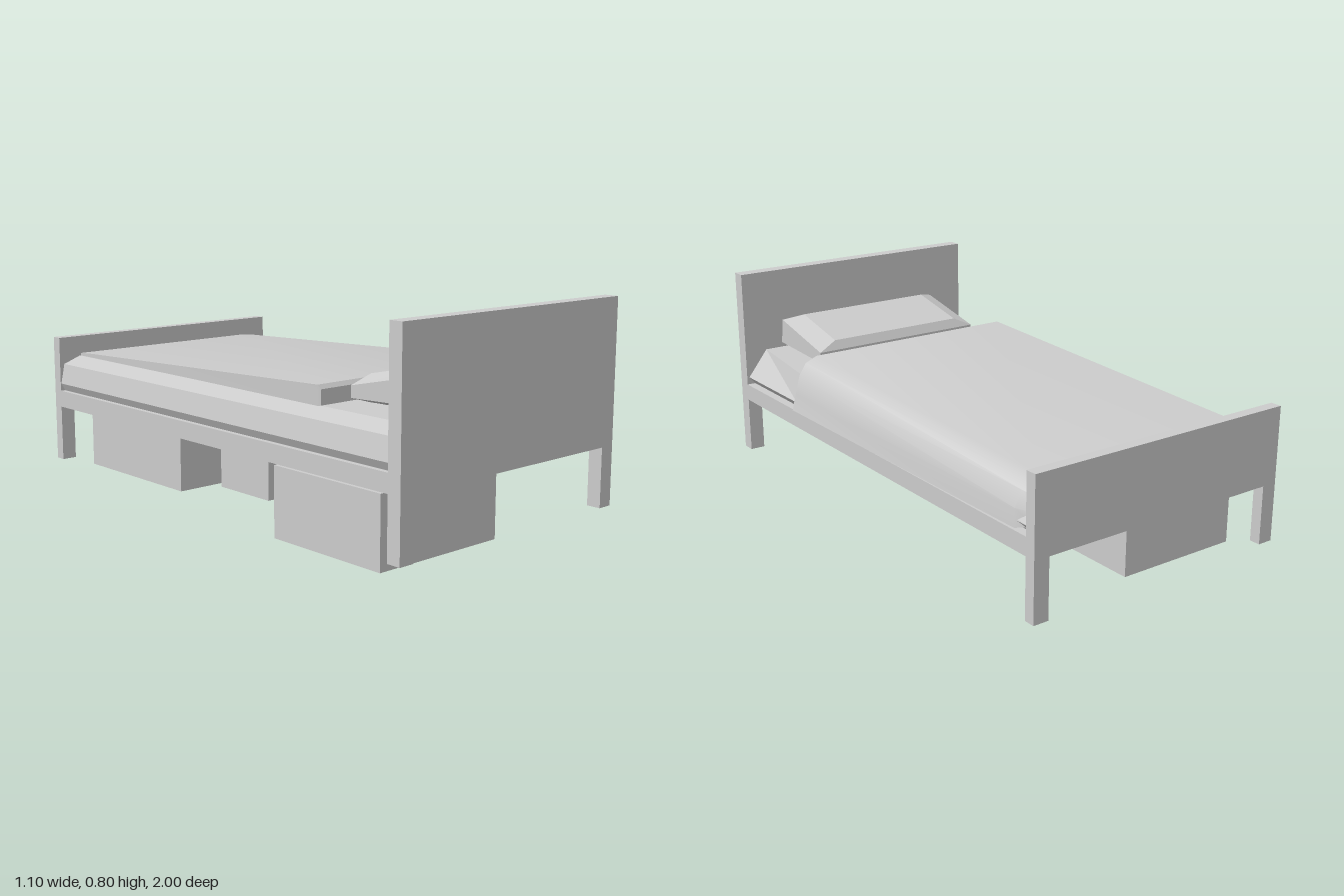
import * as THREE from 'three';
import { toCreasedNormals } from 'three/addons/utils/BufferGeometryUtils.js';

const material = new THREE.MeshStandardMaterial({ color: 0xcccccc });

function add(group, name, geometry) {
  const mesh = new THREE.Mesh(geometry, material);
  mesh.name = name;
  group.add(mesh);
  return mesh;
}

// Box given by its lower and upper corners
function box(group, name, [x0, y0, z0], [x1, y1, z1]) {
  const mesh = add(group, name, new THREE.BoxGeometry(x1 - x0, y1 - y0, z1 - z0));
  mesh.position.set((x0 + x1) / 2, (y0 + y1) / 2, (z0 + z1) / 2);
}

// Closed solid through counter-clockwise rings of equal point count
function loft(rings, crease) {
  const pos = [];
  const tri = (...pts) => pts.forEach((p) => pos.push(...p));
  const n = rings[0].length;
  const centre = (ring) => [0, 1, 2].map((k) => ring.reduce((s, p) => s + p[k], 0) / n);
  const first = rings[0], last = rings[rings.length - 1];
  const c0 = centre(first), c1 = centre(last);
  for (let j = 0; j < n; j++) {
    const k = (j + 1) % n;
    for (let i = 0; i + 1 < rings.length; i++) {
      const [r, s] = [rings[i], rings[i + 1]];
      tri(r[j], r[k], s[k], r[j], s[k], s[j]);
    }
    tri(c0, first[k], first[j]);
    tri(c1, last[j], last[k]);
  }
  const g = new THREE.BufferGeometry();
  g.setAttribute('position', new THREE.Float32BufferAttribute(pos, 3));
  return toCreasedNormals(g, crease);
}

const atZ = (z, pts) => pts.map(([x, y]) => [x, y, z]);

// End board with two legs cut out below
function endBoard(group, name, top, z0, z1) {
  const [l, r, leg, foot, rail] = [-0.55, 0.535, 0.06, 0.04, 0.263];
  const shape = new THREE.Shape([
    [l, foot], [l + leg, foot], [l + leg, rail], [r - leg, rail],
    [r - leg, foot], [r, foot], [r, top], [l, top],
  ].map(([x, y]) => new THREE.Vector2(x, y)));
  const g = new THREE.ExtrudeGeometry(shape, { depth: z1 - z0, bevelEnabled: false });
  add(group, name, g).position.z = z0;
}

export function createModel() {
  const bed = new THREE.Group();
  bed.name = 'bed';

  // Frame
  endBoard(bed, 'headboard', 0.8, 0.945, 1);
  endBoard(bed, 'footboard', 0.55, -1, -0.957);
  box(bed, 'bedBase', [-0.55, 0.263, -0.957], [0.535, 0.33, 0.945]);

  // Mattress with bevelled edges, slightly uneven on one side
  const mattress = [[-0.957, 0.46], [0.53, 0.495], [0.945, 0.44]].map(([z, edge]) => atZ(z, [
    [-0.53, 0.33], [0.5, 0.33], [0.525, 0.36], [edge, 0.468],
    [-0.455, 0.468], [-0.53, 0.44], [-0.547, 0.36],
  ]));
  add(bed, 'mattress', loft(mattress, 0.2));

  // Blanket draped over one side, thicker near the pillow
  const blanket = [
    atZ(-0.957, [[-0.45, 0.45], [0.46, 0.35], [0.5, 0.352], [0.5, 0.4],
      [0.485, 0.445], [0.46, 0.465], [0.41, 0.478], [-0.45, 0.478]]),
    atZ(-0.89, [[-0.45, 0.45], [0.47, 0.332], [0.53, 0.334], [0.527, 0.4],
      [0.5, 0.455], [0.47, 0.473], [0.42, 0.483], [-0.45, 0.483]]),
    atZ(0.525, [[-0.46, 0.45], [0.48, 0.332], [0.547, 0.334], [0.53, 0.4],
      [0.51, 0.47], [0.48, 0.517], [0.43, 0.538], [-0.46, 0.538]]),
    atZ(0.537, [[-0.455, 0.45], [0.48, 0.332], [0.537, 0.334], [0.52, 0.4],
      [0.5, 0.463], [0.473, 0.505], [0.43, 0.523], [-0.455, 0.523]]),
  ];
  add(bed, 'blanket', loft(blanket, 0.5));

  // Tilted pillow: rings of [x0, x1, zBack, yBack, zFront, yFront]
  const pillow = [
    [-0.28, 0.305, 0.605, 0.465, 0.87, 0.472],
    [-0.355, 0.385, 0.575, 0.487, 0.905, 0.5],
    [-0.355, 0.385, 0.575, 0.53, 0.89, 0.6],
    [-0.28, 0.305, 0.595, 0.565, 0.848, 0.62],
  ].map(([x0, x1, zb, yb, zf, yf]) => [[x0, yf, zf], [x1, yf, zf], [x1, yb, zb], [x0, yb, zb]]);
  add(bed, 'pillow', loft(pillow, 0.2));

  // Storage boxes under the bed
  box(bed, 'largeStorageBox', [-0.545, 0, 0.4], [0.005, 0.256, 0.91]);
  box(bed, 'smallStorageBox', [-0.29, 0.018, -0.22], [0.205, 0.245, 0.065]);
  box(bed, 'longStorageBox', [-0.45, 0.018, -0.88], [0.042, 0.245, -0.265]);

  return bed;
}
